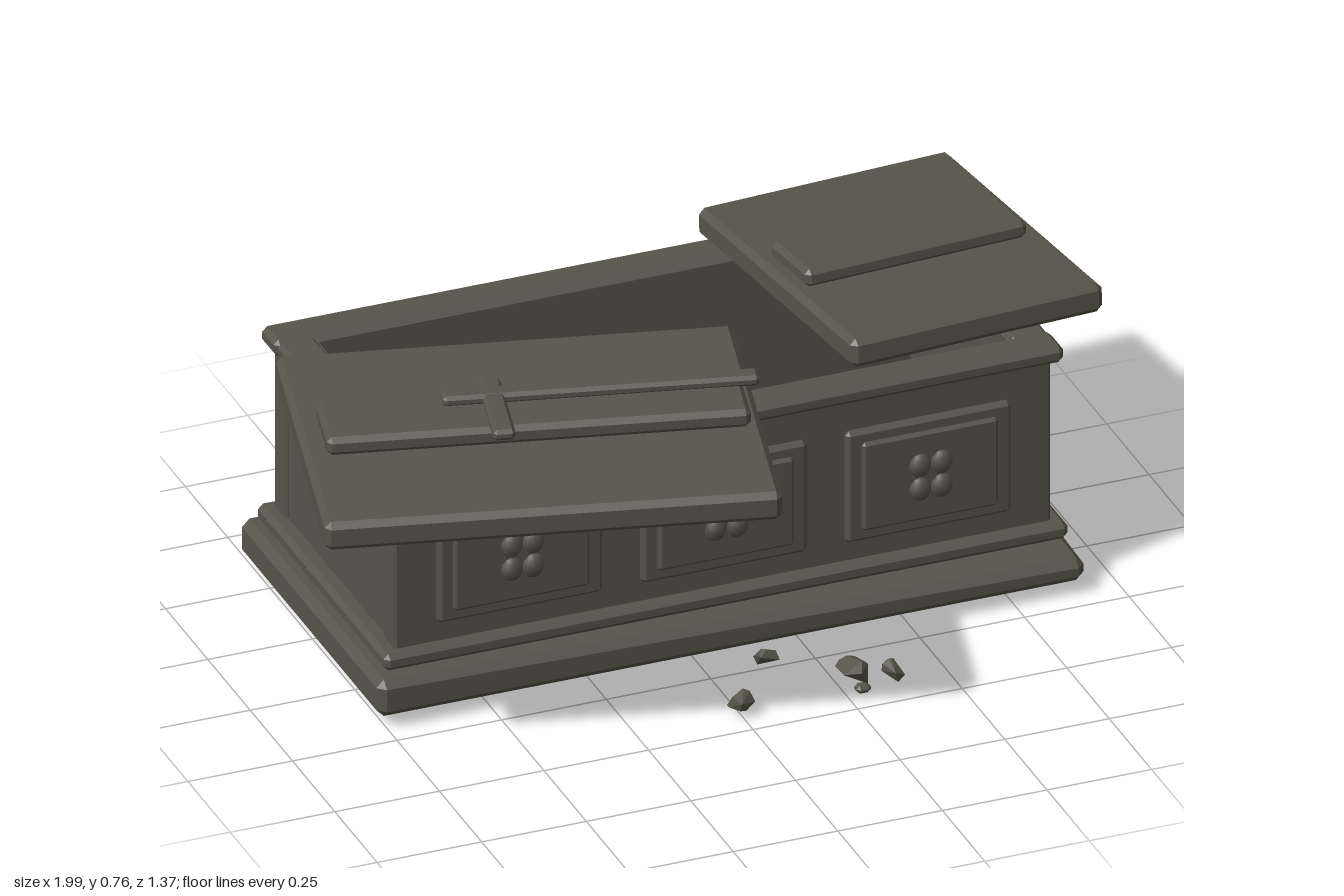
import * as THREE from 'three';
import { ConvexGeometry } from 'three/addons/geometries/ConvexGeometry.js';

const stone = new THREE.MeshStandardMaterial({ color: 0x56544a });
stone.name = 'weatheredStone';

// Chamfered block; an optional rule moves its corner points
function block(parent, name, size, pos, bevel = 0.012, warp = null) {
  const h = size.map((s) => s / 2);
  const pts = [];
  for (const sx of [-1, 1]) for (const sy of [-1, 1]) for (const sz of [-1, 1]) {
    for (let full = 0; full < 3; full++) {
      const c = [sx, sy, sz].map((s, i) => s * (h[i] - (i === full ? 0 : bevel)));
      const p = new THREE.Vector3(...c);
      if (warp) warp(p);
      pts.push(p);
    }
  }
  return add(parent, name, new ConvexGeometry(pts), pos);
}

function add(parent, name, geometry, pos = [0, 0, 0]) {
  const mesh = new THREE.Mesh(geometry, stone);
  mesh.name = name;
  mesh.position.set(...pos);
  parent.add(mesh);
  return mesh;
}

function group(parent, name, pos = [0, 0, 0]) {
  const g = new THREE.Group();
  g.name = name;
  g.position.set(...pos);
  parent.add(g);
  return g;
}

// Small seeded generator for the rubble
function seeded(seed) {
  return () => (seed = (seed * 16807) % 2147483647) / 2147483647;
}

function buildChest(root) {
  const chest = group(root, 'chest', [0.073, 0, -0.215]);

  // Plinth, sunken at its front left corner
  block(chest, 'plinth', [1.69, 0.092, 0.83], [0, 0.074, 0], 0.018, (p) => {
    if (p.x > 0 && p.y > 0 && p.z > 0) p.y -= 0.035;
  });
  block(chest, 'lowerMoulding', [1.635, 0.042, 0.765], [0, 0.146, 0]);
  block(chest, 'floor', [1.45, 0.03, 0.6], [0, 0.16, 0], 0.002);

  // Long walls run past the inset end walls
  for (const s of [-1, 1]) {
    block(chest, s > 0 ? 'frontWall' : 'backWall', [1.57, 0.46, 0.07], [0, 0.375, s * 0.32], 0.006);
    block(chest, s > 0 ? 'leftEndWall' : 'rightEndWall', [0.07, 0.46, 0.575], [s * 0.743, 0.375, 0], 0.003);
    block(chest, s > 0 ? 'frontRim' : 'backRim', [1.615, 0.042, 0.09], [0, 0.594, s * 0.337]);
    block(chest, s > 0 ? 'leftRim' : 'rightRim', [0.09, 0.036, 0.6], [s * 0.757, 0.594, 0], 0.01);
  }

  // Carved front panels with four-petal rosettes
  for (const x of [-0.488, 0, 0.488]) {
    const panel = group(chest, 'carvedPanel', [x, 0.355, 0.355]);
    block(panel, 'panelFrame', [0.395, 0.28, 0.03], [0, 0, 0], 0.009);
    block(panel, 'panelField', [0.325, 0.222, 0.024], [0, 0, 0.012], 0.007);
    for (const px of [-1, 1]) for (const py of [-1, 1]) {
      const petal = add(panel, 'rosettePetal', new THREE.SphereGeometry(0.03, 8, 6), [px * 0.026, py * 0.03, 0.022]);
      petal.scale.set(0.92, 1, 0.6);
    }
  }
}

function buildLids(root) {
  // Large slab, turned and sliding off the front
  const large = group(root, 'largeLid', [-0.403, 0.655, 0.173]);
  large.rotation.y = -0.243;
  block(large, 'largeLidSlab', [1.025, 0.07, 0.79], [0, 0, 0], 0.014);
  block(large, 'largeLidRidge', [0.95, 0.045, 0.182], [0.01, 0.058, 0], 0.012);
  const sword = group(large, 'carvedSword', [0, 0.09, 0]);
  block(sword, 'swordBlade', [0.71, 0.026, 0.048], [0.165, 0, -0.045], 0.008);
  block(sword, 'swordGuard', [0.05, 0.026, 0.25], [-0.075, -0.001, 0.02], 0.008);

  // Small slab, tilted down towards the back
  const small = group(root, 'smallLid', [0.665, 0.655, -0.273]);
  small.rotation.set(-0.066, 0.068, 0);
  block(small, 'smallLidSlab', [0.62, 0.07, 0.795], [0, 0, 0], 0.014);
  block(small, 'smallLidRidge', [0.545, 0.045, 0.19], [-0.005, 0.053, 0.005], 0.012);
}

function buildRemains(root) {
  const remains = group(root, 'remains', [0, 0.175, 0]);
  // Skull with jaw
  const skull = add(remains, 'skull', new THREE.SphereGeometry(0.06, 10, 8), [-0.48, 0.05, -0.28]);
  skull.scale.set(1.1, 0.9, 0.95);
  block(remains, 'jaw', [0.06, 0.035, 0.06], [-0.43, 0.025, -0.25], 0.01);
  // Loose ribs and a fallen bone
  for (let i = 0; i < 3; i++) {
    const curve = new THREE.QuadraticBezierCurve3(
      new THREE.Vector3(-0.04, 0, -0.045),
      new THREE.Vector3(0.01, 0.06, -0.02),
      new THREE.Vector3(0.035, 0, 0.045));
    add(remains, 'rib', new THREE.TubeGeometry(curve, 6, 0.008, 5), [0.06 + i * 0.012, 0.01, -0.3 + i * 0.05]);
  }
  const bone = add(remains, 'looseBone', new THREE.CylinderGeometry(0.01, 0.012, 0.14, 6), [0.28, 0.012, -0.1]);
  bone.rotation.set(Math.PI / 2, 0, 0.3);
}

function buildRubble(root) {
  const rubble = group(root, 'rubble');
  const rand = seeded(71);
  // x, y, z and half sizes of each fragment
  const stones = [
    [0, 0.037, 0.425, 0.034, 0.028, 0.03],
    [0.12, 0.038, 0.277, 0.032, 0.028, 0.032],
    [0.275, 0.042, 0.41, 0.04, 0.034, 0.05],
    [0.365, 0.036, 0.425, 0.026, 0.026, 0.034],
  ];
  for (const [x, y, z, a, b, c] of stones) {
    const pts = [];
    for (let i = 0; i < 11; i++) {
      const v = new THREE.Vector3(rand() - 0.5, rand() - 0.5, rand() - 0.5).normalize();
      pts.push(v.multiply(new THREE.Vector3(a, b, c)));
    }
    add(rubble, 'stoneFragment', new ConvexGeometry(pts), [x, y, z]);
  }
  // Lowest chip resting on the ground
  block(rubble, 'stoneChip', [0.035, 0.02, 0.03], [0.29, 0.01, 0.43], 0.008);
}

export function createModel() {
  const root = new THREE.Group();
  root.name = 'brokenSarcophagus';
  buildChest(root);
  buildLids(root);
  buildRemains(root);
  buildRubble(root);
  return root;
}
